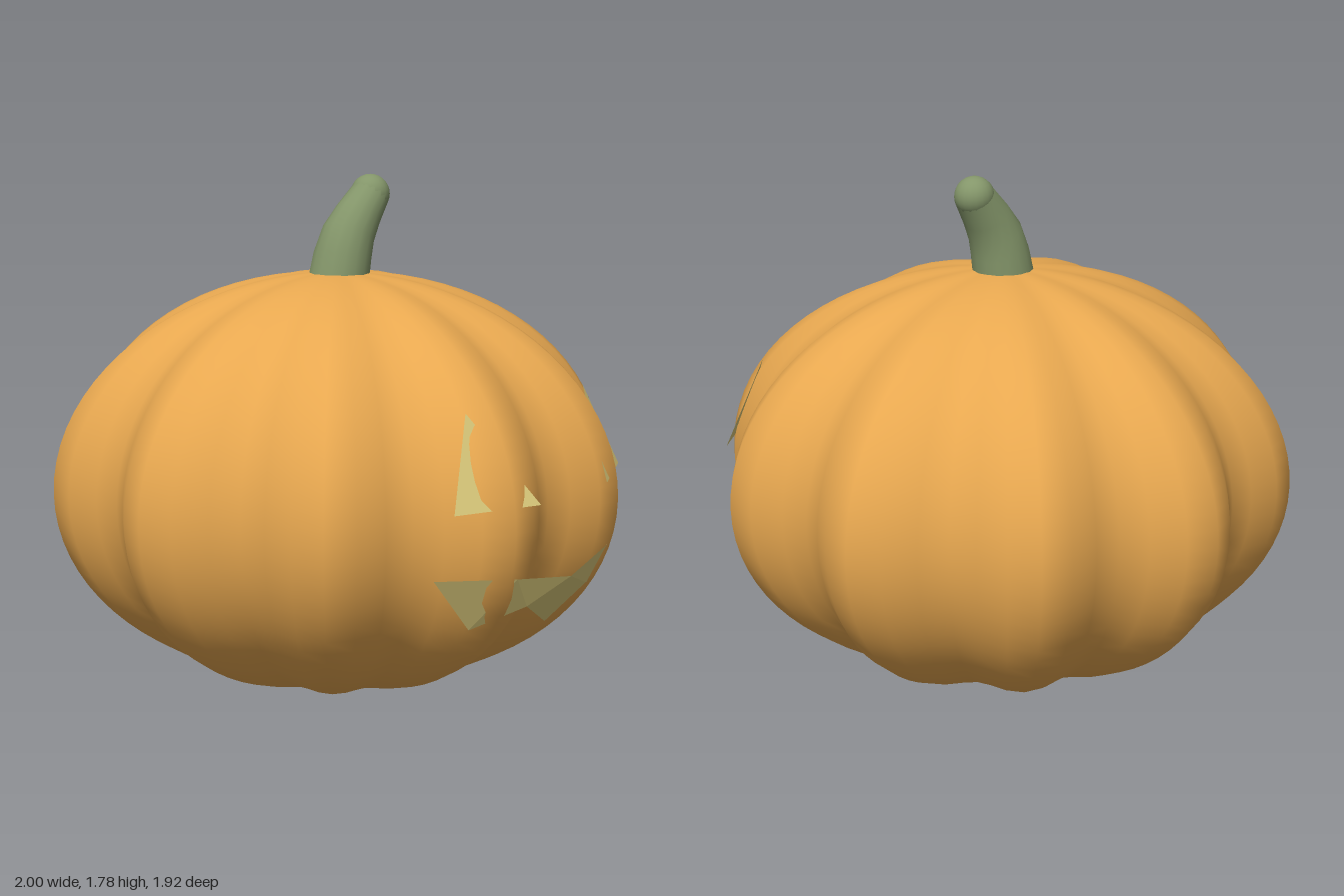
import * as THREE from 'three';

const CY = 0.73, CZ = -0.0125; // centre of the body

function add(group, name, geometry, color, side = THREE.FrontSide, flatShading = false) {
  const mesh = new THREE.Mesh(geometry, new THREE.MeshStandardMaterial({ color, side, flatShading }));
  mesh.name = name;
  group.add(mesh);
  return mesh;
}

// Squashed sphere whose horizontal radius swells into ten lobes
function bodyGeometry() {
  const geo = new THREE.SphereGeometry(1, 60, 40);
  const p = geo.attributes.position;
  for (let i = 0; i < p.count; i++) {
    const x = p.getX(i), z = p.getZ(i);
    const r = 0.935 + 0.065 * Math.cos(10 * Math.atan2(z, x));
    p.setXYZ(i, x * r, p.getY(i) * 0.727, z * r);
  }
  // smooth normals, averaged over the seam
  geo.computeVertexNormals();
  const n = geo.attributes.normal;
  for (let j = 0; j <= 40; j++) {
    const a = j * 61, b = a + 60;
    const v = new THREE.Vector3().fromBufferAttribute(n, a)
      .add(new THREE.Vector3().fromBufferAttribute(n, b)).normalize();
    n.setXYZ(a, v.x, v.y, v.z);
    n.setXYZ(b, v.x, v.y, v.z);
  }
  return geo;
}

// Tapered stem: tilted rings along a bent path
function stemGeometry(rings, sides) {
  const pos = [], index = [];
  rings.forEach(([x, y, z, r, tilt], k) => {
    for (let i = 0; i < sides; i++) {
      const a = (i / sides) * Math.PI * 2, u = Math.cos(a) * r;
      pos.push(x + u * Math.cos(tilt), y - u * Math.sin(tilt), z + Math.sin(a) * r);
      if (k === 0) continue;
      const j = (i + 1) % sides, lo = (k - 1) * sides, hi = k * sides;
      index.push(lo + i, hi + i, lo + j, lo + j, hi + i, hi + j);
    }
  });
  const geo = new THREE.BufferGeometry();
  geo.setAttribute('position', new THREE.Float32BufferAttribute(pos, 3));
  geo.setIndex(index);
  geo.computeVertexNormals();
  return geo;
}

// Flat facets with corners lying on the unlobed body surface
function facePatch(points, triangles) {
  const pos = points.flatMap(([x, y]) =>
    [x, y, CZ + Math.sqrt(1 - 1.15 * x * x - 1.87 * (y - CY) ** 2)]);
  const geo = new THREE.BufferGeometry();
  geo.setAttribute('position', new THREE.Float32BufferAttribute(pos, 3));
  geo.setIndex(triangles);
  geo.computeVertexNormals();
  return geo;
}

export function createModel() {
  const group = new THREE.Group();
  group.name = 'carvedPumpkin';

  add(group, 'body', bodyGeometry(), 0xe8a850).position.set(0, CY, CZ);

  // stem with a rounded tip
  const stem = new THREE.Group();
  stem.name = 'stem';
  group.add(stem);
  const green = 0x84966a;
  add(stem, 'stemStalk', stemGeometry([
    [0, 1.42, -0.012, 0.107, 0],
    [0.015, 1.51, -0.005, 0.101, 0.2],
    [0.037, 1.585, 0.004, 0.092, 0.45],
    [0.075, 1.65, 0.017, 0.08, 0.6],
    [0.122, 1.718, 0.032, 0.068, 0.6],
  ], 16), green);
  add(stem, 'stemTip', new THREE.SphereGeometry(0.068, 20, 14), green).position.set(0.122, 1.718, 0.032);

  // eyes and mouth
  const glow = 0xdccb7c;
  for (const s of [1, -1]) {
    const eye = [[s * 0.2, 0.81], [s * 0.49, 0.81], [s * 0.345, 1.1]];
    add(group, s > 0 ? 'leftEye' : 'rightEye',
      facePatch(eye, s > 0 ? [0, 1, 2] : [0, 2, 1]), glow, THREE.DoubleSide, true);
  }
  const mouth = [
    [-0.535, 0.605], [-0.27, 0.578], [0, 0.535], [0.27, 0.578], [0.535, 0.605], // upper lip
    [0.36, 0.41], [0.18, 0.465], [0, 0.365], [-0.18, 0.465], [-0.36, 0.41], // toothed lower lip
  ];
  add(group, 'mouth', facePatch(mouth, [
    0, 9, 1, 9, 8, 1, 8, 2, 1, 8, 7, 2,
    7, 6, 2, 6, 3, 2, 6, 5, 3, 5, 4, 3,
  ]), glow, THREE.DoubleSide, true);

  return group;
}
